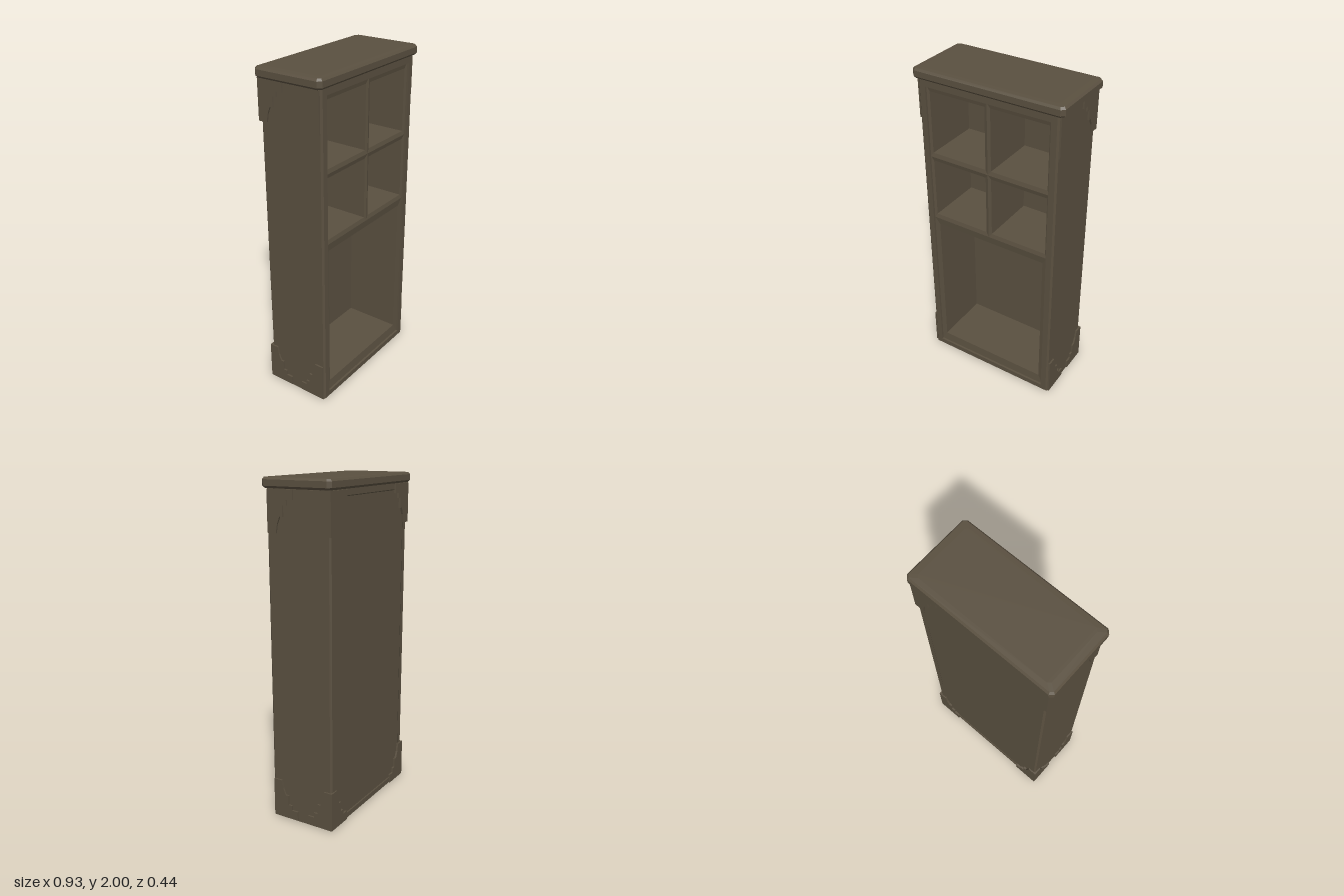
import * as THREE from 'three';

// Rectangle ring (counter-clockwise), with optional cut corners
function rect(x0, x1, y0, y1, z, c = 0) {
  if (!c) return [[x0, y0, z], [x1, y0, z], [x1, y1, z], [x0, y1, z]];
  return [
    [x0 + c, y0, z], [x1 - c, y0, z], [x1, y0 + c, z], [x1, y1 - c, z],
    [x1 - c, y1, z], [x0 + c, y1, z], [x0, y1 - c, z], [x0, y0 + c, z],
  ];
}

// Joins successive rings with flat faces and closes the ends
function loft(rings, capStart = true) {
  const pos = [];
  const tri = (a, b, c) => pos.push(...a, ...b, ...c);
  for (let k = 0; k + 1 < rings.length; k++) {
    const a = rings[k], b = rings[k + 1], n = a.length;
    for (let i = 0; i < n; i++) {
      const j = (i + 1) % n;
      tri(a[i], a[j], b[j]);
      tri(a[i], b[j], b[i]);
    }
  }
  const first = rings[0], last = rings[rings.length - 1];
  for (let i = 1; i + 1 < last.length; i++) {
    tri(last[0], last[i], last[i + 1]);
    if (capStart) tri(first[0], first[i + 1], first[i]);
  }
  const geo = new THREE.BufferGeometry();
  geo.setAttribute('position', new THREE.Float32BufferAttribute(pos, 3));
  geo.computeVertexNormals();
  return geo;
}

export function createModel() {
  const group = new THREE.Group();
  const wood = new THREE.MeshStandardMaterial({ color: 0x5a5040 });
  wood.name = 'dark wood';
  const add = (name, geo) => {
    const mesh = new THREE.Mesh(geo, wood);
    mesh.name = name;
    group.add(mesh);
    return mesh;
  };

  // Carcass: recessed back panel, chamfered posts and front frame
  const carcass = loft([
    rect(-0.395, 0.395, 0.045, 1.9, -0.199),
    rect(-0.39, 0.39, 0.04, 1.905, -0.203),
    rect(-0.425, 0.425, 0.008, 1.94, -0.203),
    rect(-0.435, 0.435, 0, 1.94, -0.193),
    rect(-0.435, 0.435, 0, 1.94, 0.193),
    rect(-0.425, 0.425, 0.008, 1.94, 0.203),
    rect(-0.39, 0.39, 0.04, 1.9, 0.203),
    rect(-0.39, 0.39, 0.04, 1.9, 0.19),
  ]);
  // The front is open, so drop the two closing triangles there
  const p = carcass.getAttribute('position');
  const count = p.count;
  carcass.setDrawRange(0, count);
  const keep = [];
  for (let i = 0; i < count; i += 3) {
    const closing = [0, 1, 2].every((k) => Math.abs(p.getZ(i + k) - 0.19) < 1e-4);
    if (!closing) keep.push(i, i + 1, i + 2);
  }
  carcass.setIndex(keep);
  carcass.setDrawRange(0, Infinity);
  add('carcass', carcass);

  // Compartments: [outer bezel rectangle], [opening rectangle]
  const cells = [['lowerCompartment', [-0.39, 0.39, 0.04, 1.045], [-0.36, 0.36, 0.095, 1.0]]];
  const rows = [[1.045, 1.465, 1.07, 1.44], [1.465, 1.9, 1.49, 1.87]];
  for (const [o0, o1, i0, i1] of rows) {
    cells.push(['upperRightCompartment', [-0.39, 0, o0, o1], [-0.375, -0.018, i0, i1]]);
    cells.push(['upperLeftCompartment', [0, 0.39, o0, o1], [0.018, 0.375, i0, i1]]);
  }
  for (const [name, outer, inner] of cells) {
    add(name, loft([rect(...outer, 0.19), rect(...inner, 0.184), rect(...inner, -0.17)], false));
  }

  // Cornice with cut corners and bevelled edges
  const slab = (hx, hz, y, c) => rect(-hx, hx, -hz, hz, y, c);
  const cornice = loft([
    slab(0.455, 0.208, 1.94, 0.015),
    slab(0.467, 0.219, 1.952, 0.02),
    slab(0.467, 0.219, 1.986, 0.02),
    slab(0.457, 0.209, 1.998, 0.015),
    slab(0.42, 0.182, 2.0, 0.015),
  ]);
  cornice.rotateX(-Math.PI / 2);
  add('cornice', cornice);

  // Stepped corner bracket, drawn outward from its corner
  const profile = [
    [0, 0], [0.165, 0], [0.165, 0.055], [0.125, 0.055], [0.125, 0.085],
    [0.1, 0.085], [0.1, 0.145], [0.08, 0.145], [0.064, 0.185], [0.055, 0.235], [0, 0.235],
  ];
  function bracket(corner, inward, top) {
    const pts = profile.map(([u, v]) => new THREE.Vector2(corner + inward * u, top ? 1.937 - v : 0.008 + v));
    return new THREE.ExtrudeGeometry(new THREE.Shape(pts), { depth: 0.014, bevelEnabled: false });
  }
  for (const top of [true, false]) {
    const level = top ? 'upper' : 'lower';
    for (const s of [-1, 1]) {
      // Back face
      const back = add(level + 'BackBracket', bracket(s * 0.443, -s, top));
      back.position.z = -0.211;
      // Side faces, at the rear and front edges
      for (const e of [-1, 1]) {
        const edge = e < 0 ? 0.211 : 0.193;
        const geo = bracket(e * edge, -e, top);
        geo.rotateY(-Math.PI / 2);
        const side = add(level + 'SideBracket', geo);
        side.position.x = s > 0 ? 0.445 : -0.431;
      }
    }
  }
  return group;
}
